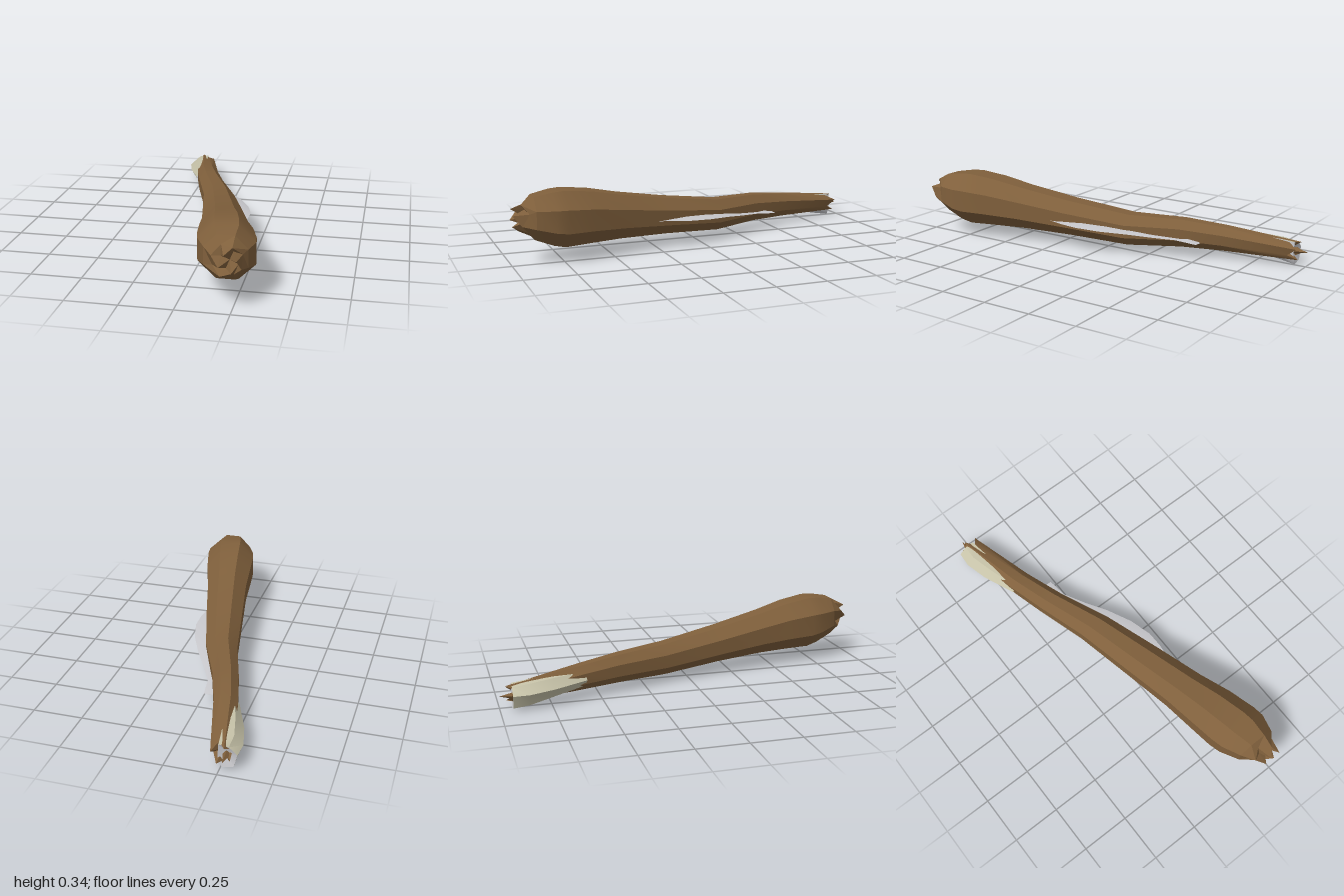
import * as THREE from 'three';
import { toCreasedNormals } from 'three/addons/utils/BufferGeometryUtils.js';

const SIDES = 8;

// Eight-sided ring fitted to the box [z, left, right, bottom, top]; jag moves every other corner in z
function octagon([z, l, r, b, t, jag = 0]) {
  const k = 1 / Math.cos(Math.PI / SIDES);
  return Array.from({ length: SIDES }, (_, j) => {
    const a = ((j + 0.5) / SIDES) * Math.PI * 2;
    return [
      (l + r) / 2 + Math.cos(a) * k * (r - l) / 2,
      (b + t) / 2 + Math.sin(a) * k * (t - b) / 2,
      z + (j % 2 ? jag : -jag),
    ];
  });
}

// Skin between rings (ordered from back to front, corners counter-clockwise seen from +z).
// keep(j) picks which strips to build; start and end are optional cap centres.
function loft(rings, { keep = () => true, start, end, crease = 0.6 } = {}) {
  const pos = [];
  const tri = (...pts) => pts.forEach((p) => pos.push(...p));
  const n = rings[0].length;
  const last = rings.length - 1;
  for (let j = 0; j < n; j++) {
    const k = (j + 1) % n;
    if (keep(j)) {
      for (let i = 0; i < last; i++) {
        const a = rings[i][j], b = rings[i][k], c = rings[i + 1][k], d = rings[i + 1][j];
        tri(a, b, c);
        tri(a, c, d);
      }
    }
    if (start) tri(start, rings[0][k], rings[0][j]);
    if (end) tri(end, rings[last][j], rings[last][k]);
  }
  const g = new THREE.BufferGeometry();
  g.setAttribute('position', new THREE.Float32BufferAttribute(pos, 3));
  return toCreasedNormals(g, crease);
}

export function createModel() {
  const group = new THREE.Group();
  const material = (name, color) => {
    const m = new THREE.MeshStandardMaterial({ color, side: THREE.DoubleSide });
    m.name = name;
    return m;
  };
  const wood = material('brown wood', 0x80603c);
  const bone = material('cream bone', 0xc6c2a8);
  const metal = material('pale grey', 0xc8c8cc);
  const add = (name, geometry, mat) => {
    const mesh = new THREE.Mesh(geometry, mat);
    mesh.name = name;
    group.add(mesh);
  };

  // Shaft swelling into the head
  const body = [
    [-0.94, -0.3, -0.21, 0.035, 0.12, 0.025],
    [-0.6, -0.235, -0.115, 0.042, 0.165],
    [-0.39, -0.18, -0.045, 0.045, 0.188],
    [-0.13, -0.1, 0.068, 0.037, 0.198],
    [0.18, -0.04, 0.16, 0.06, 0.243],
    [0.44, 0.01, 0.232, 0.071, 0.29],
    [0.6, 0.03, 0.285, 0.072, 0.325],
    [0.74, 0.05, 0.322, 0.07, 0.343],
    [0.8, 0.065, 0.33, 0.085, 0.34],
    [0.89, 0.11, 0.31, 0.12, 0.325],
  ].map(octagon);
  add('shaftAndHead', loft(body), wood);

  // Splintered wood at the head's end
  const knob = [
    body[body.length - 1],
    octagon([0.935, 0.155, 0.29, 0.155, 0.292, 0.018]),
    octagon([0.965, 0.195, 0.275, 0.19, 0.27, -0.03]),
  ];
  add('splinteredTip', loft(knob, { end: [0.235, 0.23, 0.93], crease: 0.05 }), wood);

  // Hollow, jagged end of the grip
  add('gripEnd', loft([body[0]], { start: [-0.255, 0.08, -0.9], crease: 0.05 }), wood);
  const spike = new THREE.ConeGeometry(0.03, 0.12, 4).rotateX(-Math.PI / 2).translate(-0.275, 0.07, -0.94);
  add('gripSplinter', toCreasedNormals(spike, 0.05), wood);

  // Curved guard around the outer side of the grip; its inner face lies inside the wood
  const guard = [
    [[-0.24, 0.122], [-0.288, 0.115], [-0.328, 0.08], [-0.31, 0.016], [-0.255, 0.003], [-0.235, 0.045]].map((p) => [...p, -0.94]),
    [[-0.23, 0.13], [-0.29, 0.125], [-0.333, 0.083], [-0.308, 0.025], [-0.26, 0.015], [-0.23, 0.05]].map((p) => [...p, -0.86]),
    [[-0.21, 0.138], [-0.262, 0.135], [-0.304, 0.09], [-0.276, 0.046], [-0.24, 0.04], [-0.21, 0.06]].map((p) => [...p, -0.74]),
    [[-0.18, 0.14], [-0.21, 0.138], [-0.235, 0.1], [-0.215, 0.07], [-0.19, 0.06], [-0.17, 0.08]].map((p) => [...p, -0.57]),
  ];
  add('guardUpper', loft(guard, { keep: (j) => j < 3 }), bone);
  add('guardLower', loft(guard, { keep: (j) => j >= 3, start: [-0.275, 0.07, -0.92] }), metal);

  // Thin leaf-shaped blade set in the other side: [z, outer x, y, half thickness]
  const blade = [
    [-0.5, -0.035, 0.085, 0.002],
    [-0.44, -0.028, 0.09, 0.009],
    [-0.39, -0.022, 0.094, 0.005],
    [-0.27, 0.04, 0.105, 0.007],
    [-0.17, 0.098, 0.118, 0.01],
    [-0.04, 0.158, 0.127, 0.014],
    [0.08, 0.19, 0.135, 0.013],
    [0.17, 0.19, 0.14, 0.009],
    [0.27, 0.176, 0.145, 0.002],
  ].map(([z, x, y, h]) => {
    const inner = 0.02 + z * 0.27;
    return [
      [x, y, z],
      [(x + inner) / 2, y + h, z],
      [inner - 0.02, y, z],
      [(x + inner) / 2, y - h, z],
    ];
  });
  add('sideBlade', loft(blade), metal);

  return group;
}
